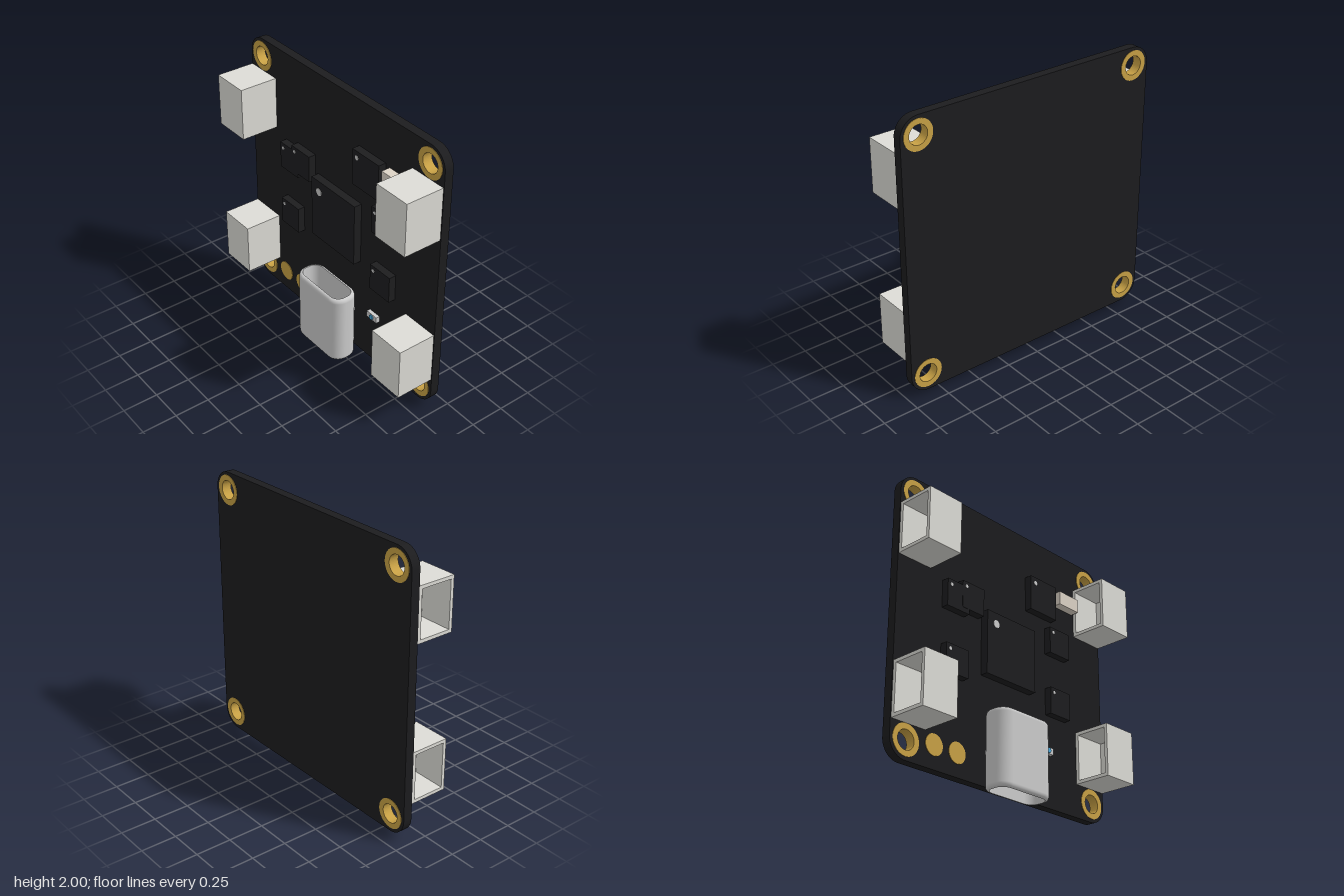
import * as THREE from 'three';

const material = (color) => new THREE.MeshStandardMaterial({ color });
const BOARD_BACK = -0.172, BOARD_FRONT = -0.108;

// Rounded rectangle outline centred on the origin
function roundedRect(w, h, r) {
  const s = new THREE.Shape(), x = w / 2, y = h / 2;
  s.absarc(x - r, y - r, r, 0, Math.PI / 2);
  s.absarc(-x + r, y - r, r, Math.PI / 2, Math.PI);
  s.absarc(-x + r, -y + r, r, Math.PI, Math.PI * 1.5);
  s.absarc(x - r, -y + r, r, Math.PI * 1.5, Math.PI * 2);
  s.closePath();
  return s;
}

// Sweep a closed wall profile of [inset, y, corner] round a rounded rectangle in the xz plane
function shellGeometry(halfX, halfZ, r, profile) {
  const steps = 10, rim = [];
  for (let q = 0; q < 4; q++) {
    const sx = q === 0 || q === 3 ? 1 : -1, sz = q < 2 ? 1 : -1;
    for (let i = 0; i <= steps; i++) {
      const a = (q + i / steps) * Math.PI / 2;
      rim.push([sx * (halfX - r), sz * (halfZ - r), Math.cos(a), Math.sin(a)]);
    }
  }
  const pos = [], index = [], n = rim.length;
  // Each profile run has its own vertices, so edges between runs stay sharp
  for (const run of profile) {
    const base = pos.length / 3;
    for (const [inset, y] of run)
      for (const [cx, cz, nx, nz] of rim) pos.push(cx + nx * (r - inset), y, cz + nz * (r - inset));
    for (let j = 0; j < run.length - 1; j++)
      for (let i = 0; i < n; i++) {
        const a = base + j * n + i, b = base + j * n + (i + 1) % n;
        index.push(a, a + n, b, b, a + n, b + n);
      }
  }
  const g = new THREE.BufferGeometry();
  g.setAttribute('position', new THREE.Float32BufferAttribute(pos, 3));
  g.setIndex(index);
  g.computeVertexNormals();
  return g;
}

export function createModel() {
  const model = new THREE.Group();
  model.name = 'circuitBoard';
  const boardMat = material(0x1c1c1e), chipMat = material(0x1d1d1f), gold = material(0xc8a145);
  const plastic = material(0xdddcd6), white = material(0xe6e6e6);
  const shellMat = material(0xcccccc);
  shellMat.side = THREE.DoubleSide;

  function add(name, geometry, mat, x = 0, y = 0, z = 0) {
    const m = new THREE.Mesh(geometry, mat);
    m.name = name;
    m.position.set(x, y, z);
    model.add(m);
    return m;
  }
  // Box given by its x and y centre and its z range
  const block = (name, mat, x, y, w, h, z0, z1) =>
    add(name, new THREE.BoxGeometry(w, h, z1 - z0), mat, x, y, (z0 + z1) / 2);
  // Disc standing on a surface and facing the front
  const disc = (name, mat, x, y, r, z0, z1) =>
    add(name, new THREE.CylinderGeometry(r, r, z1 - z0, 32).rotateX(Math.PI / 2), mat, x, y, (z0 + z1) / 2);

  // Board with four mounting holes
  const holes = [];
  for (const x of [-0.853, 0.853]) for (const y of [0.17, 1.873]) holes.push([x, y]);
  const outline = roundedRect(1.96, 1.96, 0.13);
  for (const [x, y] of holes) {
    const hole = new THREE.Path();
    hole.absarc(x, y - 1.02, 0.075, 0, Math.PI * 2, true);
    outline.holes.push(hole);
  }
  add('board', new THREE.ExtrudeGeometry(outline, {
    depth: BOARD_FRONT - BOARD_BACK, bevelEnabled: false, curveSegments: 24,
  }), boardMat, 0, 1.02, BOARD_BACK);

  // Gold plating: ring on both faces and barrel through the hole
  const ring = new THREE.Shape().absarc(0, 0, 0.105, 0, Math.PI * 2);
  ring.holes.push(new THREE.Path().absarc(0, 0, 0.066, 0, Math.PI * 2, true));
  const ringGeo = new THREE.ExtrudeGeometry(ring, {
    depth: BOARD_FRONT - BOARD_BACK + 0.006, bevelEnabled: false, curveSegments: 24,
  });
  for (const [x, y] of holes) add('mountingRing', ringGeo, gold, x, y, BOARD_BACK - 0.003);

  // Solder pads
  for (const x of [-0.625, -0.43]) disc('solderPad', gold, x, 0.2, 0.072, BOARD_FRONT - 0.01, BOARD_FRONT + 0.004);

  // Chips: x, y, width, height, front z, dot x, dot y, dot radius
  const chips = [
    [-0.002, 1.02, 0.46, 0.46, -0.05, -0.15, 1.167, 0.028],
    [0.325, 1.545, 0.26, 0.26, -0.052, 0.24, 1.628, 0.016],
    [-0.362, 1.283, 0.196, 0.196, -0.053, -0.427, 1.345, 0.012],
  ];
  for (const [x, y] of [[-0.494, 1.248], [-0.494, 0.792], [0.49, 1.248], [0.49, 0.792]])
    chips.push([x, y, 0.196, 0.196, -0.055, x - 0.065, y + 0.062, 0.012]);
  for (const [x, y, w, h, z, dx, dy, r] of chips) {
    block('chip', chipMat, x, y, w, h, BOARD_FRONT, z);
    disc('chipMarker', white, dx, dy, r, z - 0.006, z + 0.003);
  }

  // Small parts: crystal and indicator light
  block('crystal', material(0xddd3c6), 0.588, 1.61, 0.194, 0.1, BOARD_FRONT, -0.045);
  block('lightBody', white, 0.39, 0.432, 0.1, 0.046, BOARD_FRONT, -0.08);
  disc('lightLens', material(0x4aa8dc), 0.39, 0.432, 0.018, -0.085, -0.072);

  // Side sockets: a box with a cavity opening towards -x
  const W = 0.278, H = 0.375, wall = 0.024, depth = 0.24;
  const mouth = new THREE.Shape([[-W / 2, -H / 2], [W / 2, -H / 2], [W / 2, H / 2], [-W / 2, H / 2]]
    .map(([x, y]) => new THREE.Vector2(x, y)));
  const a = W / 2 - wall, b = H / 2 - wall;
  mouth.holes.push(new THREE.Path([[-a, -b], [-a, b], [a, b], [a, -b]].map(([x, y]) => new THREE.Vector2(x, y))));
  const sleeveGeo = new THREE.ExtrudeGeometry(mouth, { depth, bevelEnabled: false }).rotateY(-Math.PI / 2);
  const backGeo = new THREE.BoxGeometry(0.275 - depth, H, W);
  for (const x of [-0.8385, 0.8385]) for (const y of [0.463, 1.578]) {
    add('socketSleeve', sleeveGeo, plastic, x + 0.1375 - (0.275 - depth), y, 0.033);
    add('socketBack', backGeo, plastic, x + depth / 2, y, 0.033);
  }

  // Metal port shell: open tube with rounded-over ends
  const L = 0.53, e = 0.03, t = 0.022, lower = [], upper = [];
  for (let i = 0; i <= 6; i++) {
    const k = i / 6 * Math.PI / 2;
    lower.push([t * (1 - Math.sin(k)), e * (1 - Math.cos(k))]);
    upper.push([t * (1 - Math.cos(k)), L - e + e * Math.sin(k)]);
  }
  add('portShell', shellGeometry(0.237, 0.103, 0.09, [
    [...lower, ...upper], [[t, L], [t + 0.003, L]], [[t + 0.003, L], [t + 0.003, 0]], [[t + 0.003, 0], [t, 0]],
  ]), shellMat, 0, 0, 0.001);

  return model;
}
